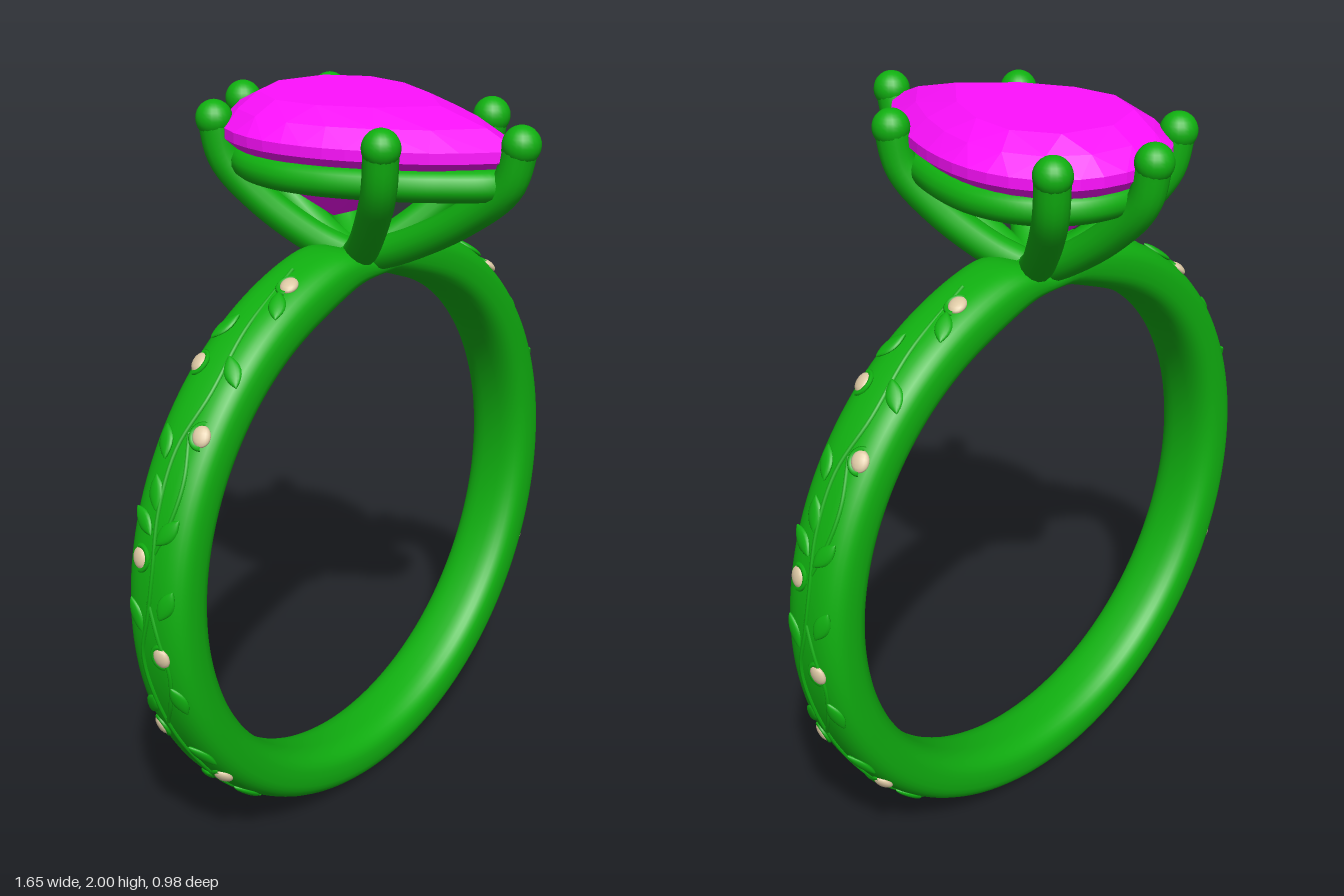
import * as THREE from 'three';
import { ConvexGeometry } from 'three/addons/geometries/ConvexGeometry.js';

const CY = 0.82, BAND_Z = -0.067, HALF_W = 0.098, POW = 2.7;
const green = new THREE.MeshStandardMaterial({ color: 0x10b010 });
const magenta = new THREE.MeshStandardMaterial({ color: 0xff10ff });
const beige = new THREE.MeshStandardMaterial({ color: 0xdcc8a4 });
const V = (x, y, z) => new THREE.Vector3(x, y, z);

function add(parent, name, geometry, material = green) {
  const mesh = new THREE.Mesh(geometry, material);
  mesh.name = name;
  parent.add(mesh);
  return mesh;
}

// Band radii; the shank thins and rises where it meets the head
function radii(a) {
  const d = Math.atan2(Math.cos(a), Math.sin(a));
  return {
    inner: 0.675 + 0.033 * Math.exp(-((d / 0.2) ** 2)),
    outer: 0.818 - 0.045 * Math.exp(-((d / 0.1) ** 2)),
  };
}

// Point on the outer face of the band at angle a and offset w across it
function surface(a, w, lift = 0) {
  const { inner, outer } = radii(a);
  const k = Math.pow(1 - Math.min(1, Math.abs(w / HALF_W)) ** POW, 1 / POW);
  const r = (inner + outer) / 2 + ((outer - inner) / 2) * k + lift;
  return V(r * Math.cos(a), CY + r * Math.sin(a), w);
}

function bandGeometry(n = 180, m = 32) {
  const pos = [], idx = [];
  const sp = (v) => Math.sign(v) * Math.abs(v) ** (2 / POW);
  for (let i = 0; i < n; i++) {
    const a = (i / n) * Math.PI * 2, { inner, outer } = radii(a);
    for (let j = 0; j < m; j++) {
      const t = (j / m) * Math.PI * 2;
      const r = (inner + outer) / 2 + ((outer - inner) / 2) * sp(Math.cos(t));
      pos.push(r * Math.cos(a), CY + r * Math.sin(a), HALF_W * sp(Math.sin(t)));
      const i2 = (i + 1) % n, j2 = (j + 1) % m;
      idx.push(i * m + j, i2 * m + j, i * m + j2, i2 * m + j, i2 * m + j2, i * m + j2);
    }
  }
  const g = new THREE.BufferGeometry();
  g.setAttribute('position', new THREE.Float32BufferAttribute(pos, 3));
  g.setIndex(idx);
  g.computeVertexNormals();
  return g;
}

// Leaf: flattened ball with pointed ends
function leafGeometry() {
  const g = new THREE.SphereGeometry(1, 16, 12).rotateZ(Math.PI / 2);
  const p = g.attributes.position;
  for (let i = 0; i < p.count; i++) {
    const s = Math.sqrt(Math.max(0, 1 - p.getX(i) ** 2));
    p.setXYZ(i, p.getX(i) * 0.046, p.getY(i) * s * 0.022, p.getZ(i) * 0.009);
  }
  g.computeVertexNormals();
  return g;
}

// Lay a mesh on the band: local x along the band, local z outward
function lay(mesh, y, w, turn, lift = 0) {
  const a = Math.asin((y - CY) / CY);
  const along = surface(a + 0.01, w).sub(surface(a - 0.01, w)).normalize();
  const across = surface(a, w + 0.004).sub(surface(a, w - 0.004)).normalize();
  const out = along.clone().cross(across).normalize();
  across.crossVectors(out, along);
  mesh.quaternion.setFromRotationMatrix(new THREE.Matrix4().makeBasis(along, across, out));
  mesh.rotateZ(turn);
  mesh.position.copy(surface(a, w)).addScaledVector(out, lift);
}

// Vine with leaves and small stones on one side of the band
function vineSide() {
  const side = new THREE.Group();
  side.name = 'vineDecoration';
  const stems = [
    [[1.6, 0.0], [1.5, -0.02], [1.38, -0.03], [1.26, 0.0], [1.12, 0.0], [0.98, -0.01], [0.86, 0.0],
      [0.74, 0.03], [0.6, 0.02], [0.46, 0.0], [0.34, -0.02], [0.25, -0.02], [0.15, -0.03]],
    [[1.3, -0.02], [1.2, -0.05], [1.1, -0.04], [1.0, 0.0]],
    [[0.9, 0.0], [0.8, -0.03], [0.7, -0.05], [0.6, -0.03], [0.52, 0.01]],
  ];
  for (const stem of stems) {
    const pts = stem.map(([y, w]) => surface(Math.asin((y - CY) / CY), w));
    add(side, 'vineStem', new THREE.TubeGeometry(new THREE.CatmullRomCurve3(pts), 80, 0.006, 6));
  }
  // height, offset across, turn
  const leaves = [[1.55, -0.05, 0.5], [1.5, 0.045, -0.5], [1.43, -0.055, 0.7], [1.27, 0.04, 0.4],
    [1.16, 0.02, 0.3], [1.09, 0.04, 0.9], [1.08, -0.04, -0.6], [0.9, -0.055, -0.4], [0.85, 0.04, 0.5],
    [0.62, -0.06, 0.3], [0.57, 0.045, -0.5], [0.41, -0.05, 0.6], [0.27, 0.03, -0.7], [0.2, -0.04, 0.3]];
  const leaf = leafGeometry();
  for (const [y, w, turn] of leaves) lay(add(side, 'leaf', leaf), y, w, turn, 0.001);

  const bead = new THREE.SphereGeometry(1, 14, 10).scale(0.028, 0.023, 0.012);
  const cup = new THREE.TorusGeometry(0.027, 0.007, 6, 18, Math.PI * 1.1).scale(1.1, 1, 0.8);
  for (const [y, w] of [[1.58, -0.035], [1.43, 0.055], [1.3, -0.055], [1.0, 0.035],
    [0.75, -0.035], [0.48, 0.055], [0.31, -0.055]]) {
    lay(add(side, 'smallStone', bead, beige), y, w, 0.3, 0.001);
    lay(add(side, 'stoneCup', cup), y, w, w > 0 ? Math.PI : 0, 0);
  }
  return side;
}

// Pear outline, open at the pointed front end
const half = [[0, 0.43], [0.13, 0.3], [0.22, 0.14], [0.272, 0], [0.288, -0.14], [0.25, -0.28], [0.15, -0.382]];
const pear = [...half, [0, -0.42], ...half.slice().reverse().map(([x, z]) => [-x, z])];
const outline = new THREE.CatmullRomCurve3(pear.map(([x, z]) => V(x, 0, z)));

function gemGeometry() {
  const pts = [V(0, 1.67, -0.14)];
  for (const p of outline.getPoints(36)) pts.push(V(p.x, 1.895, p.z), V(p.x, 1.922, p.z));
  for (const p of outline.getPoints(16)) {
    pts.push(V(p.x * 0.86, 1.964, p.z * 0.84 - 0.025));
    pts.push(V(p.x * 0.56, 1.782, (p.z + 0.14) * 0.56 - 0.14));
  }
  for (const p of outline.getPoints(10)) pts.push(V(p.x * 0.67, 2, p.z * 0.61 - 0.063));
  return new ConvexGeometry(pts);
}

export function createModel() {
  const model = new THREE.Group();
  model.name = 'ring';

  // Shank with the vine on both sides
  const shank = new THREE.Group();
  shank.name = 'shank';
  shank.position.z = BAND_Z;
  add(shank, 'band', bandGeometry());
  const left = vineSide(), right = vineSide();
  right.rotation.y = Math.PI;
  shank.add(left, right);
  model.add(shank);

  // Head: stone, gallery ring, hub and prongs
  const head = new THREE.Group();
  head.name = 'head';
  add(head, 'pearStone', gemGeometry(), magenta);

  const galleryPts = pear.slice(0, -1).map(([x, z]) => V(x * 0.85, 1.833, z * 0.86));
  add(head, 'galleryRing',
    new THREE.TubeGeometry(new THREE.CatmullRomCurve3(galleryPts, true), 120, 0.04, 14, true));

  const hub = add(head, 'hub', new THREE.SphereGeometry(1, 24, 16));
  hub.scale.set(0.085, 0.042, 0.085);
  hub.position.set(0, 1.577, BAND_Z);

  const tips = [[0, 0.436], [0, -0.446], [0.23, 0.195], [-0.23, 0.195], [0.23, -0.337], [-0.23, -0.337]];
  const rise = [[0, 1.57], [0.3, 1.625], [0.68, 1.73], [0.93, 1.835], [1, 1.94]];
  for (const [x, z] of tips) {
    const path = rise.map(([f, y]) => V(x * f, y, BAND_Z + (z - BAND_Z) * f));
    add(head, 'prong', new THREE.TubeGeometry(new THREE.CatmullRomCurve3(path), 32, 0.044, 14));
    add(head, 'prongTip', new THREE.SphereGeometry(0.048, 20, 14)).position.set(x, 1.938, z);
  }
  model.add(head);
  return model;
}
